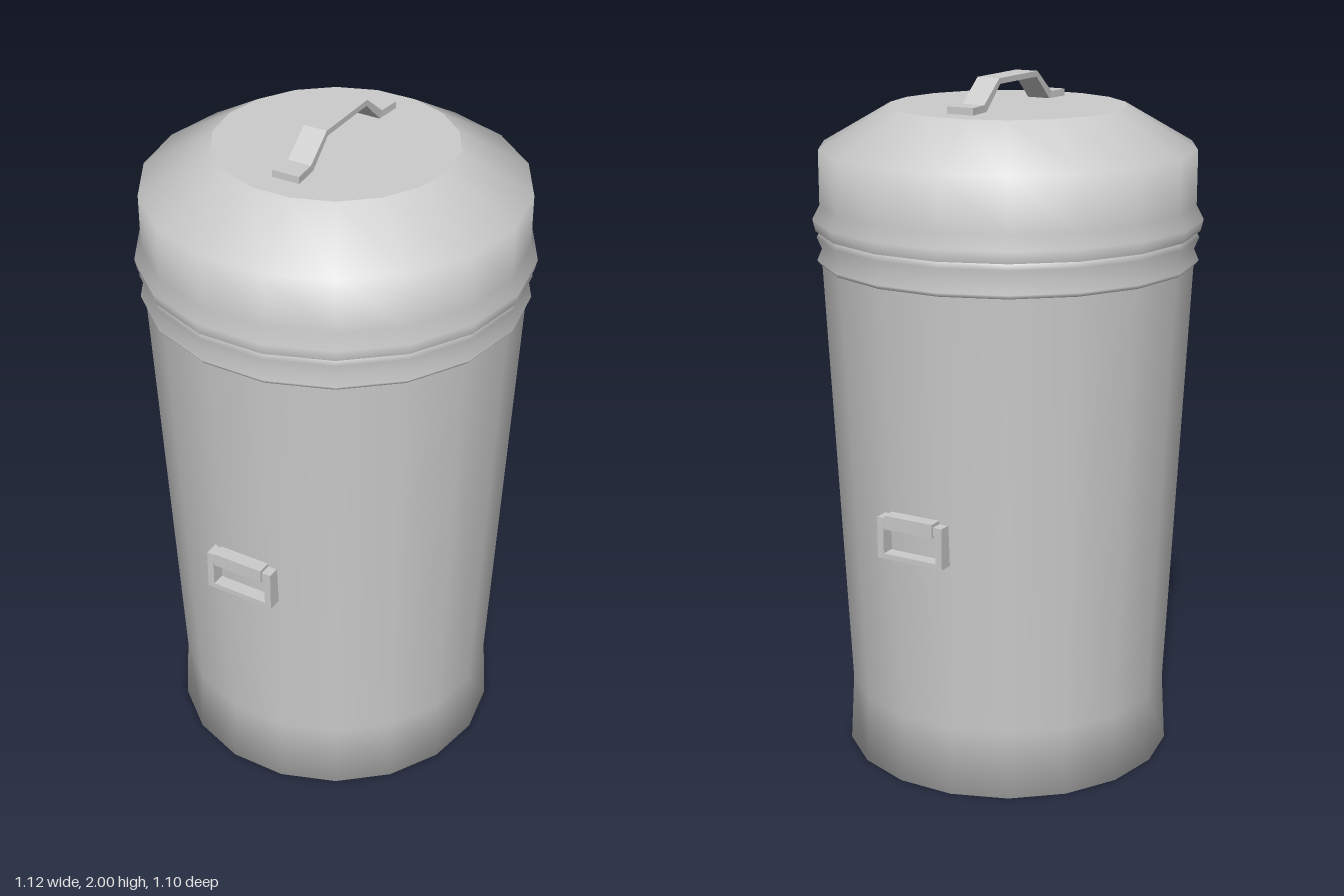
import * as THREE from 'three';

const grey = new THREE.MeshStandardMaterial({ color: 0xcccccc, side: THREE.DoubleSide });
const SIDES = 18;

function add(parent, name, geometry) {
  const mesh = new THREE.Mesh(geometry, grey);
  mesh.name = name;
  parent.add(mesh);
  return mesh;
}

// Ring of 18 sides with a corner on +x; profile is [radius, height] from bottom to top
function turned(profile) {
  const points = profile.map(([r, y]) => new THREE.Vector2(r, y));
  return new THREE.LatheGeometry(points, SIDES, Math.PI / 2);
}

function polygon(shape, points) {
  points.forEach(([x, y], i) => (i ? shape.lineTo(x, y) : shape.moveTo(x, y)));
  shape.closePath();
  return shape;
}

function rectangle(shape, x0, y0, x1, y1) {
  return polygon(shape, [[x0, y0], [x1, y0], [x1, y1], [x0, y1]]);
}

// Rectangular pull: open frame with a raised tab over its top bar
function sideHandle() {
  const handle = new THREE.Group();
  const frame = rectangle(new THREE.Shape(), -0.105, 0.705, 0.105, 0.825);
  frame.holes.push(rectangle(new THREE.Path(), -0.085, 0.72, 0.085, 0.8));
  const frameGeometry = new THREE.ExtrudeGeometry(frame, { depth: 0.055, bevelEnabled: false });
  add(handle, 'handleFrame', frameGeometry.translate(0, 0, 0.475));
  const tab = new THREE.BoxGeometry(0.155, 0.04, 0.062);
  add(handle, 'handleTab', tab.translate(0, 0.815, 0.506));
  handle.children.forEach((m) => m.geometry.translate(-0.01, 0, 0));
  return handle;
}

// Bent strap with feet that flare at their ends
function lidHandle() {
  const outer = [[0.26, 1.912], [0.26, 1.935], [0.19, 1.935], [0.108, 2]];
  const inner = [[0.103, 1.984], [0.182, 1.912]];
  const flip = (list) => list.map(([z, y]) => [-z, y]).reverse();
  const shape = polygon(new THREE.Shape(), [...outer, ...flip(outer), ...flip(inner), ...inner]);
  const geometry = new THREE.ExtrudeGeometry(shape, { depth: 0.07, bevelEnabled: false });
  geometry.translate(0, 0, -0.035).rotateY(-Math.PI / 2);
  const p = geometry.attributes.position;
  for (let i = 0; i < p.count; i++) {
    if (Math.abs(p.getZ(i)) > 0.25) p.setX(i, p.getX(i) * 1.18);
  }
  geometry.computeVertexNormals();
  return geometry;
}

export function createModel() {
  const model = new THREE.Group();
  model.name = 'lidded bin';

  // Tapered body, with the base blended softly into the wall
  add(model, 'body', turned([
    [0, 0.005], [0.37, 0.005], [0.485, 0], [0.474, 0.2], [0.535, 1.475],
  ]));

  // Ribbed band round the mouth
  add(model, 'rimUnderside', turned([[0.525, 1.475], [0.54, 1.475]]));
  add(model, 'rimBand', turned([
    [0.54, 1.475], [0.549, 1.487], [0.535, 1.52], [0.549, 1.553], [0.54, 1.57],
  ]));

  // Domed lid with a flared lip and a flat top
  const lid = new THREE.Group();
  lid.name = 'lid';
  model.add(lid);
  add(lid, 'lidUnderside', turned([[0, 1.571], [0.552, 1.571]]));
  add(lid, 'lidShell', turned([
    [0.552, 1.571], [0.56, 1.605], [0.539, 1.645], [0.539, 1.8], [0.34, 1.915],
  ]));
  const top = new THREE.CircleGeometry(0.34, SIDES);
  add(lid, 'lidTop', top.rotateX(-Math.PI / 2).translate(0, 1.915, 0));
  add(lid, 'lidHandle', lidHandle());

  // Matching pulls on the front and back
  ['frontHandle', 'backHandle'].forEach((name, i) => {
    const handle = sideHandle();
    handle.name = name;
    handle.rotation.y = i * Math.PI;
    model.add(handle);
  });

  return model;
}
